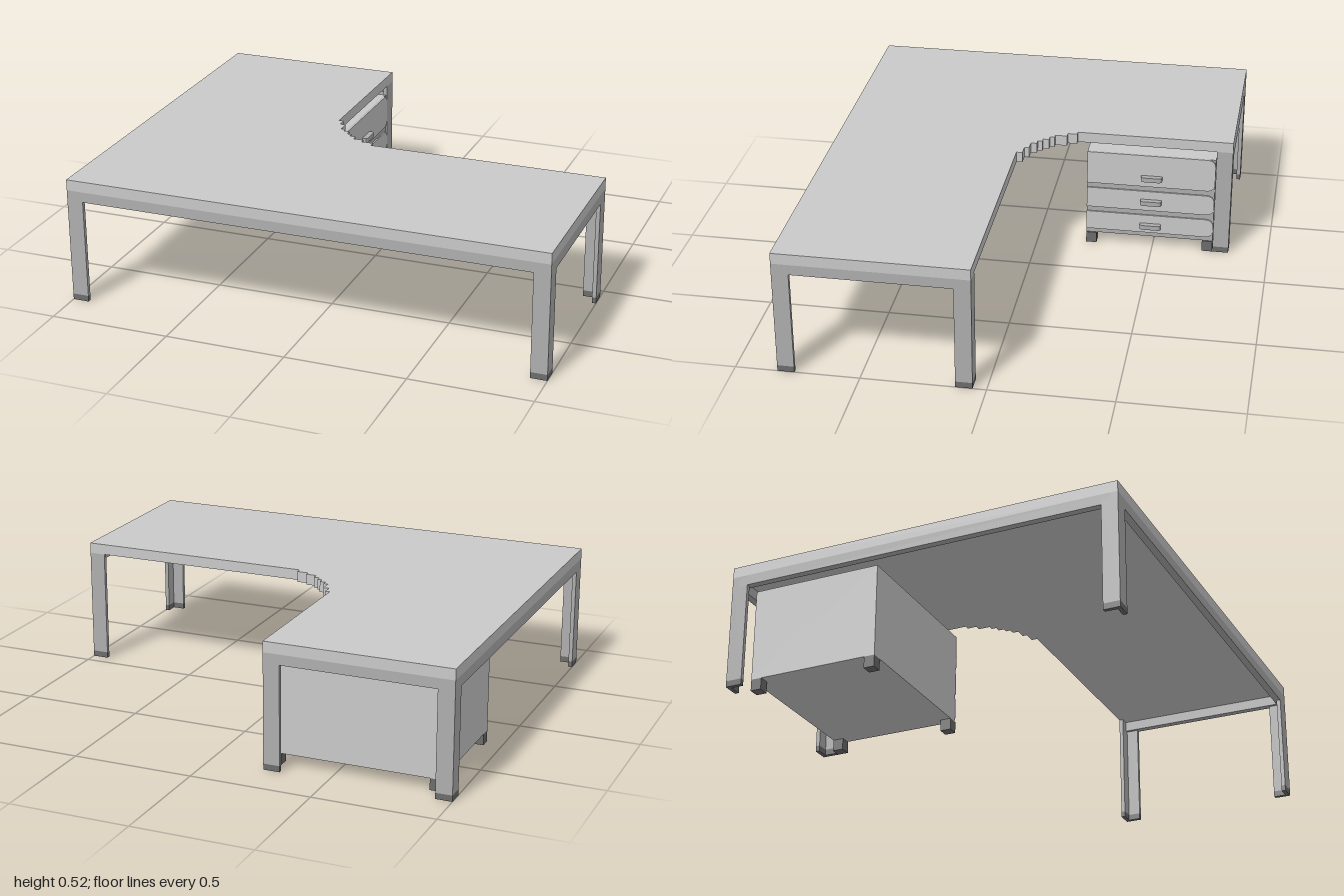
import * as THREE from 'three';

export function createModel() {
  const model = new THREE.Group();
  const material = (name, color) => Object.assign(new THREE.MeshStandardMaterial({ color }), { name });
  const panelGrey = material('panel grey', 0xc9c9c9);
  const frameGrey = material('frame grey', 0xaeaeae);
  const footGrey = material('foot dark grey', 0x6c6c6c);

  const add = (name, geometry, mat, parent = model) => {
    const mesh = new THREE.Mesh(geometry, mat);
    mesh.name = name;
    parent.add(mesh);
    return mesh;
  };
  // Box given by its lower and upper limits on each axis
  const box = (name, mat, [x0, x1], [y0, y1], [z0, z1], parent) => {
    const g = new THREE.BoxGeometry(x1 - x0, y1 - y0, z1 - z0);
    g.translate((x0 + x1) / 2, (y0 + y1) / 2, (z0 + z1) / 2);
    return add(name, g, mat, parent);
  };
  // Plan outline in x and z, filled between two heights
  const slab = (name, mat, points, y0, y1, parent) => {
    const shape = new THREE.Shape(points.map(([x, z]) => new THREE.Vector2(x, z)));
    const g = new THREE.ExtrudeGeometry(shape, { depth: y1 - y0, bevelEnabled: false });
    g.rotateX(Math.PI / 2).translate(0, y1, 0);
    return add(name, g, mat, parent);
  };

  // L-shaped desktop with a stepped inner corner
  const stepX = [-0.23, -0.21, -0.185, -0.165, -0.14, -0.12, -0.095, -0.05, 0];
  const stepZ = [-0.17, -0.13, -0.08, -0.06, -0.035, -0.015, 0.01, 0.03, 0.055];
  const outline = [[1, 0.055], [1, 0.83], [-1, 0.83], [-1, -0.83], [-0.23, -0.83]];
  for (let i = 0; i < stepX.length - 1; i++) {
    outline.push([stepX[i], stepZ[i]], [stepX[i + 1], stepZ[i]]);
  }
  outline.push([0, 0.055]);
  slab('desktop', panelGrey, outline, 0.48, 0.525);

  // Apron beams under the outer edges
  const beamY = [0.437, 0.48], t = 0.03;
  box('frontBeam', frameGrey, [-1, 1], beamY, [0.83 - t, 0.83]);
  box('leftBeam', frameGrey, [1 - t, 1], beamY, [0.055, 0.83 - t]);
  box('rightBeam', frameGrey, [-1, -1 + t], beamY, [-0.83 + t, 0.83 - t]);
  box('backBeam', frameGrey, [-1, -0.23], beamY, [-0.83, -0.83 + t]);

  // Angle-section legs: outer corner and the inward direction of each flange
  const legs = [
    [1, 0.83, -1, -1], [-1, 0.83, 1, -1], [-1, -0.83, 1, 1], [-0.23, -0.83, -1, 1], [1, 0.055, -1, 1],
  ];
  for (const [x, z, dx, dz] of legs) {
    const leg = new THREE.Group();
    leg.name = 'leg';
    const w = 0.068, k = 0.017;
    const angle = [[0, 0], [w, 0], [w, k], [k, k], [k, w], [0, w]].map(([a, b]) => [x + dx * a, z + dz * b]);
    slab('legPost', frameGrey, angle, 0.025, 0.48, leg);
    slab('legFoot', footGrey, angle, 0, 0.025, leg);
    model.add(leg);
  }

  // Drawer cabinet
  const cabinet = new THREE.Group();
  cabinet.name = 'drawerCabinet';
  model.add(cabinet);
  box('cabinetBody', panelGrey, [-0.93, -0.24], [0.048, 0.437], [-0.76, -0.212], cabinet);
  box('cabinetFace', frameGrey, [-0.24, -0.236], [0.048, 0.437], [-0.76, -0.212], cabinet);
  for (const x of [-0.93, -0.275]) {
    for (const z of [-0.76, -0.257]) {
      box('cabinetFoot', footGrey, [x, x + 0.045], [0, 0.048], [z, z + 0.045], cabinet);
    }
  }

  // Drawer fronts, rounded at the rear end, each with a bar handle
  const drawers = [[0.29, 0.437, 0.333], [0.175, 0.267, 0.219], [0.068, 0.152, 0.103]];
  for (const [y0, y1, handleY] of drawers) {
    const s = new THREE.Shape(), r = 0.036, end = 0.76;
    s.moveTo(0.212, y0);
    s.lineTo(end - r, y0);
    s.quadraticCurveTo(end, y0, end, y0 + r);
    s.lineTo(end, y1 - r);
    s.quadraticCurveTo(end, y1, end - r, y1);
    s.lineTo(0.212, y1);
    const g = new THREE.ExtrudeGeometry(s, { depth: 0.006, bevelEnabled: false, curveSegments: 6 });
    g.rotateY(Math.PI / 2).translate(-0.236, 0, 0);
    add('drawerFront', g, panelGrey, cabinet);
    slab('drawerHandle', frameGrey, [
      [-0.23, -0.535], [-0.212, -0.535], [-0.206, -0.525], [-0.206, -0.455], [-0.212, -0.445], [-0.23, -0.445],
    ], handleY - 0.01, handleY + 0.01, cabinet);
  }
  return model;
}
